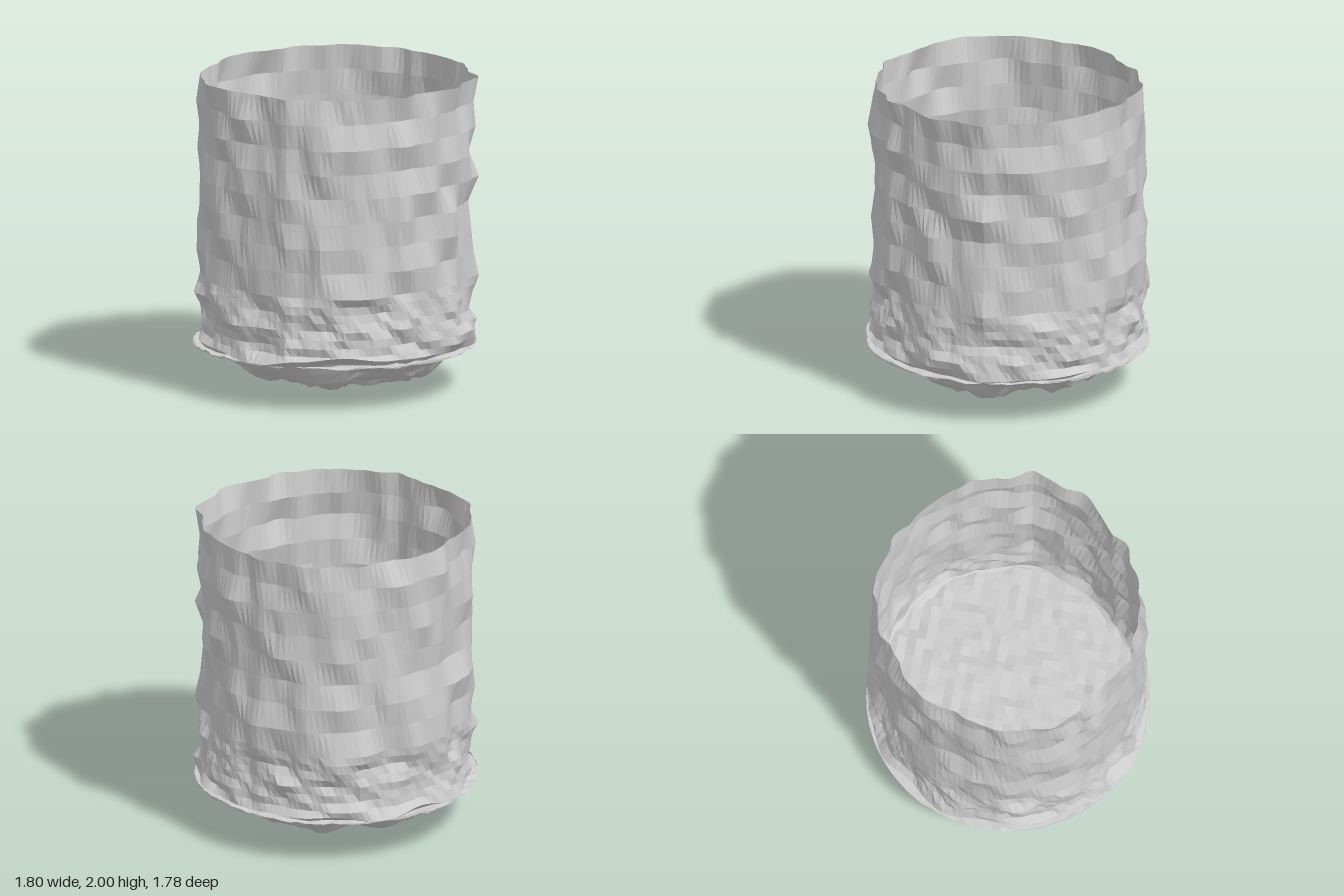
import * as THREE from 'three';

// Repeatable integer hash in -1..1
function hash(i, j, k) {
  let h = Math.imul(i + 11, 374761393) ^ Math.imul(j + 23, 668265263) ^ Math.imul(k + 37, 1274126177);
  h = Math.imul(h ^ (h >>> 15), 2246822519);
  h = Math.imul(h ^ (h >>> 13), 3266489917);
  return ((h ^ (h >>> 16)) >>> 0) / 2147483648 - 1;
}
// Noise on a turn t (n knots) and a layer, smooth along both
function noise(t, n, layer, seed) {
  const p = t * n, i = Math.floor(p), l = Math.floor(layer);
  const f = p - i, s = f * f * (3 - 2 * f), lerp = THREE.MathUtils.lerp;
  const ring = (m) => lerp(hash(i % n, m, seed), hash((i + 1) % n, m, seed), s);
  return lerp(ring(l), ring(l + 1), layer - l);
}
// Linear lookup in a list of [key, value] pairs with rising keys
function lookup(list, x) {
  for (let i = 1; i < list.length; i++) {
    const [a, u] = list[i - 1], [b, v] = list[i];
    if (x <= b) return u + (v - u) * Math.max(0, (x - a) / (b - a));
  }
  return list[list.length - 1][1];
}

// Grid surface: point(row, column) gives a position
function gridSurface(name, rows, cols, point) {
  const pos = [], index = [];
  for (let i = 0; i <= rows; i++)
    for (let j = 0; j <= cols; j++) pos.push(...point(i, j));
  for (let i = 0; i < rows; i++)
    for (let j = 0; j < cols; j++) {
      const a = i * (cols + 1) + j, b = a + 1, c = a + cols + 1, d = c + 1;
      index.push(a, b, c, b, d, c);
    }
  const geometry = new THREE.BufferGeometry();
  geometry.setAttribute('position', new THREE.Float32BufferAttribute(pos, 3));
  geometry.setIndex(index);
  geometry.computeVertexNormals();
  const material = new THREE.MeshStandardMaterial({
    color: 0xcccccc, flatShading: true, side: THREE.DoubleSide });
  const mesh = new THREE.Mesh(geometry, material);
  mesh.name = name;
  return mesh;
}

// Mean wall radius for each eighth of a turn, from +x towards +z
const OUTLINE = [0.86, 0.815, 0.845, 0.845, 0.84, 0.81, 0.86, 0.835, 0.86].map((r, i) => [i / 8, r]);
// Underside of the rock base: radius, height
const BOWL = [[0, 0.06], [0.2, 0.06], [0.4, 0.085], [0.6, 0.14], [0.7, 0.19], [0.8, 0.25], [0.89, 0.31]];

export function createModel() {
  const group = new THREE.Group();
  group.name = 'rockyShaft';
  const COLS = 144, TAU = Math.PI * 2;
  // Ragged rim shared by the foot of the wall and the underside
  const rimRadius = (t) => 0.87 + 0.035 * noise(t, 20, 0, 20);
  const rimHeight = (t) => 0.31 + 0.05 * noise(t, 18, 0, 21);

  // Wall: tall bands above, fine broken courses near the base
  const heights = [];
  for (let i = 0; i <= 8; i++) heights.push(2 - i * 0.159);
  for (let i = 1; i <= 8; i++) heights.push(0.728 - i * 0.053);
  const last = heights.length - 1;
  group.add(gridSurface('wall', last, COLS, (i, j) => {
    const t = (j % COLS) / COLS, low = Math.max(0, i - 8) / 8;
    let r = lookup(OUTLINE, t), y = heights[i];
    r += 0.016 * noise(t, 48, 0, 1);
    r += 0.036 * noise(t, 28, Math.min(i, 8) + low * 4, 2);
    r += 0.008 * noise(t, 72, i, 3);
    if (low) r += 0.012 * low + 0.01 * hash((j % COLS) >> 1, i, 4);
    if (i === last) {
      r = rimRadius(t);
      y = rimHeight(t);
    }
    r = Math.min(r, 0.91);
    return [r * Math.cos(t * TAU), y, r * Math.sin(t * TAU)];
  }));

  // Floor: gently uneven slabs, trimmed to a round edge
  const N = 32, R = 0.89;
  group.add(gridSurface('floor', N, N, (i, j) => {
    let x = (j / N * 2 - 1) * 0.92, z = (i / N * 2 - 1) * 0.92;
    const r = Math.hypot(x, z);
    if (r > R) { x *= R / r; z *= R / r; }
    return [x, 0.29 + 0.009 * hash(i, j >> 1, 7) + 0.006 * hash(i >> 1, j, 6), z];
  }));

  // Underside: shallow lumpy bowl with creases gathering at the centre
  const RINGS = 22;
  group.add(gridSurface('underside', RINGS, COLS, (i, j) => {
    const t = (j % COLS) / COLS, u = i / RINGS;
    const fade = Math.min(1, i / 5) * Math.min(1, (RINGS - i) / 3);
    let y = lookup(BOWL, 0.89 * u);
    y += fade * 0.045 * noise(t, 16, i / 3, 8);
    y += fade * 0.025 * noise(t, 40, i / 2, 9);
    if (i > 0 && i < 6) y += 0.022 * noise(t, 48, 0, 10);
    // Blend the outer rings into the rim
    y += (rimHeight(t) - 0.31) * u ** 6;
    const r = u * rimRadius(t) + 0.012 * fade * noise(t, 30, i, 11);
    return [r * Math.cos(t * TAU), Math.max(0, y), r * Math.sin(t * TAU)];
  }));

  return group;
}
